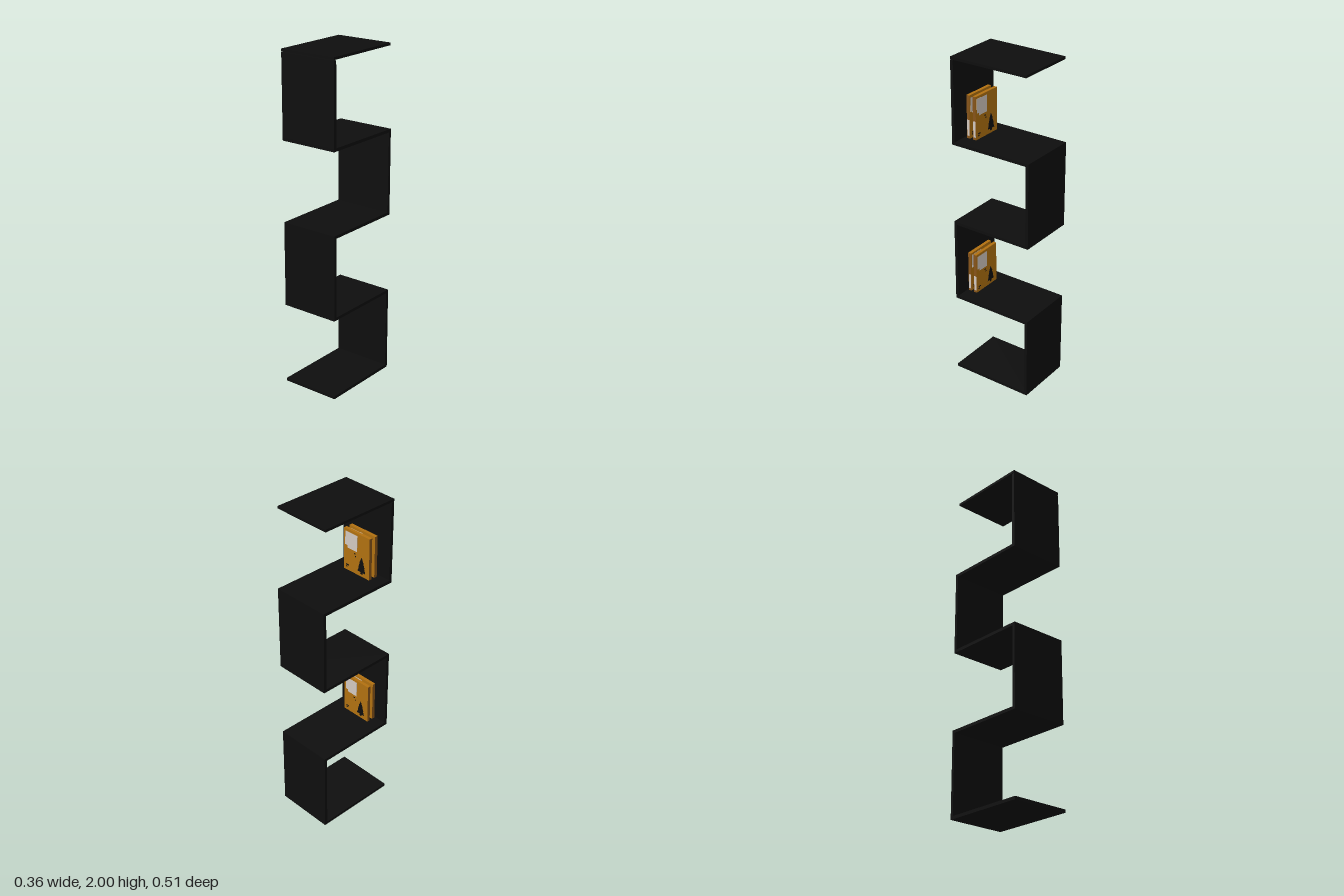
import * as THREE from 'three';

const black = new THREE.MeshStandardMaterial({ name: 'matte black', color: 0x0e0e0e });
const amber = new THREE.MeshStandardMaterial({ name: 'amber cover', color: 0xb07010 });
const brown = new THREE.MeshStandardMaterial({ name: 'brown edge', color: 0x86541a });
const cream = new THREE.MeshStandardMaterial({ name: 'pale label', color: 0xd2c8c0 });

// Box given by its extents along each axis
function slab(name, material, [x0, x1], [y0, y1], [z0, z1]) {
  const mesh = new THREE.Mesh(new THREE.BoxGeometry(x1 - x0, y1 - y0, z1 - z0), material);
  mesh.position.set((x0 + x1) / 2, (y0 + y1) / 2, (z0 + z1) / 2);
  mesh.name = name;
  return mesh;
}

// Stepped pine tree silhouette, base at the origin
function treeGeometry() {
  const right = [[0.008, 0], [0.008, 0.012], [0.03, 0.012], [0.02, 0.04], [0.024, 0.04], [0.013, 0.07], [0.016, 0.07]];
  const left = right.map(([x, y]) => [-x, y]).reverse();
  const outline = [...right, [0, 0.105], ...left].map(([x, y]) => new THREE.Vector2(x, y));
  return new THREE.ExtrudeGeometry(new THREE.Shape(outline), { depth: 0.001, bevelEnabled: false });
}

// Printed details of one cover, facing +z
function coverArt() {
  const art = new THREE.Group();
  art.name = 'coverArt';
  const z = [0, 0.001];
  art.add(slab('coverLabel', cream, [-0.088, 0.005], [0.155, 0.24], z));
  art.add(slab('coverLabelTab', cream, [-0.07, 0.005], [0.14, 0.155], z));
  const tree = new THREE.Mesh(treeGeometry(), black);
  tree.name = 'coverTree';
  tree.position.set(0.04, 0.015, 0);
  art.add(tree);
  // small marks
  for (const [x, y, w] of [[-0.08, 0.03, 0.022], [-0.08, 0.018, 0.012], [-0.02, 0.12, 0.012], [-0.01, 0.105, 0.008]]) {
    art.add(slab('coverMark', black, [x, x + w], [y, y + 0.006], z));
  }
  return art;
}

// Upright book standing on y = 0, centred on z = 0
function book() {
  const group = new THREE.Group();
  group.name = 'book';
  const w = 0.098, h = 0.255, t = 0.01;
  const body = new THREE.Mesh(
    new THREE.BoxGeometry(2 * w, h, 2 * t),
    [brown, brown, amber, amber, amber, amber]
  );
  body.name = 'bookBody';
  body.position.y = h / 2;
  group.add(body);
  group.add(slab('spineLabel', cream, [w, w + 0.001], [0.015, 0.11], [-0.008, 0.008]));

  const front = coverArt();
  front.position.z = t;
  const back = coverArt();
  back.position.z = -t;
  back.rotation.y = Math.PI;
  group.add(front, back);
  return group;
}

export function createModel() {
  const model = new THREE.Group();
  model.name = 'zigzagBookcase';
  const X = [-0.181, 0.181];
  const D = 0.257, T = 0.018;

  // Horizontal boards
  const full = [-D, D];
  model.add(slab('bottomBoard', black, X, [0, T], full));
  for (const y of [0.505, 1.0, 1.498]) {
    model.add(slab('shelfBoard', black, X, [y - T / 2, y + T / 2], full));
  }
  model.add(slab('topBoard', black, X, [1.985, 2], [-0.239, D]));

  // Uprights, alternating back and front
  const back = [-D, -D + T], front = [D - T, D];
  model.add(slab('backPanel', black, X, [T, 0.496], back));
  model.add(slab('frontPanel', black, X, [0.514, 0.991], front));
  model.add(slab('backPanel', black, X, [1.009, 1.489], back));
  model.add(slab('frontPanel', black, X, [1.507, 1.981], front));

  // Two books on each closed-front shelf
  for (const [y, z] of [[0.515, 0.18], [0.515, 0.22], [1.508, 0.168], [1.508, 0.21]]) {
    const b = book();
    b.position.set(-0.005, y, z);
    model.add(b);
  }
  return model;
}
